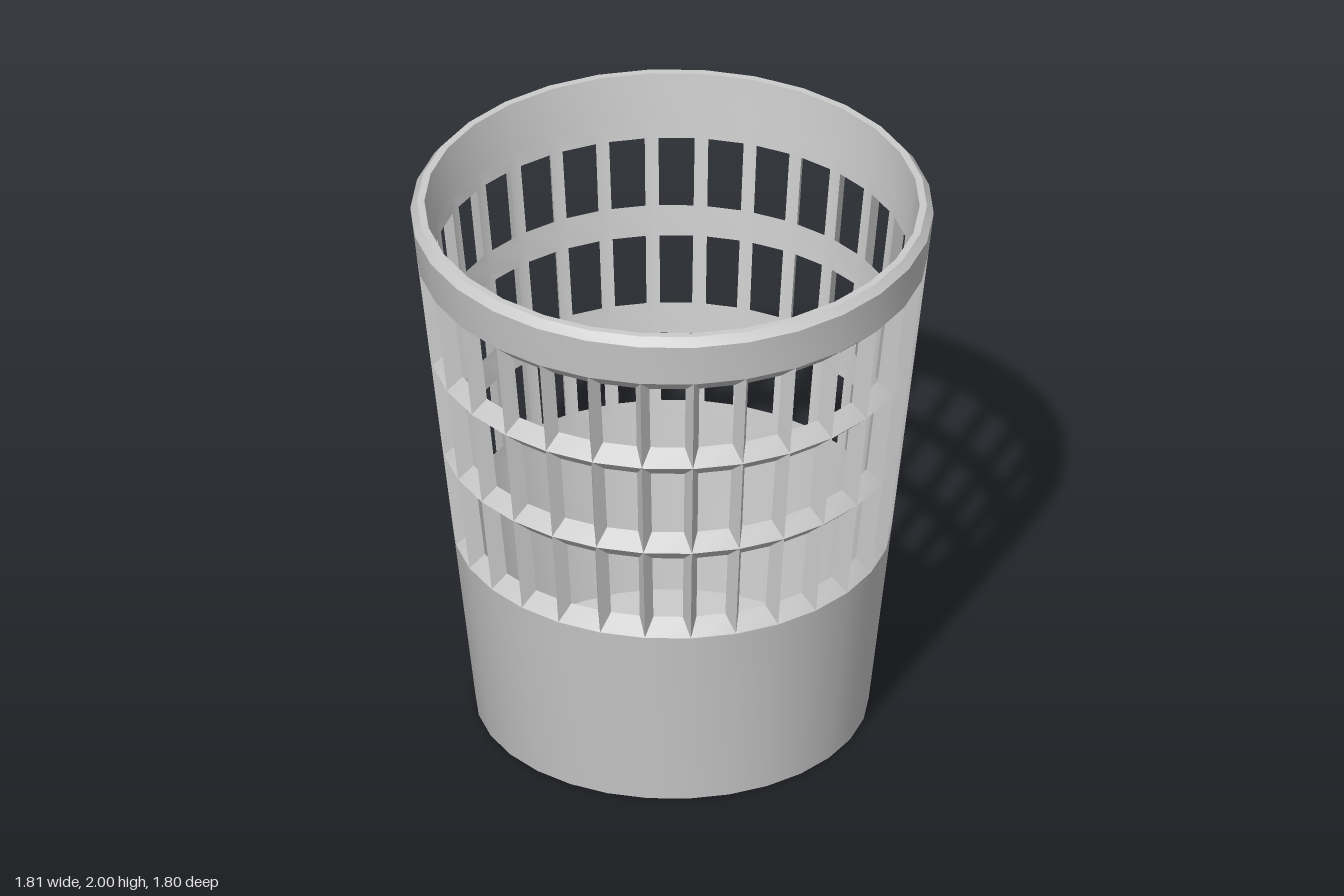
import * as THREE from 'three';
import { toCreasedNormals } from 'three/addons/utils/BufferGeometryUtils.js';

const SIDES = 30;
const STEP = (Math.PI * 2) / SIDES;
const START = STEP / 2; // a flat facet faces the front
const CREASE = 0.5;
const ROWS = [0.7, 1.07, 1.44, 1.81]; // outer ridge heights of the lattice
const BAR = 0.024; // half width of an upright bar on the inside
const SILL = 0.06; // half height of a ring bar on the inside

// Tapered wall radii at height y
const outerR = (y) => 0.68 + 0.114 * y;
const innerR = (y) => 0.628 + 0.114 * y;

const material = new THREE.MeshStandardMaterial({ color: 0xcccccc });

function addMesh(group, name, geometry) {
  const mesh = new THREE.Mesh(toCreasedNormals(geometry, CREASE), material);
  mesh.name = name;
  group.add(mesh);
}

function lathe(points) {
  const profile = points.map(([r, y]) => new THREE.Vector2(r, y));
  return new THREE.LatheGeometry(profile, SIDES, START);
}

const ringPoint = (r, angle, y) =>
  new THREE.Vector3(r * Math.sin(angle), y, r * Math.cos(angle));

// Splayed windows: each cell narrows from sharp outer ridges to a smaller inner hole
function latticeGeometry() {
  const positions = [];
  const quad = (a, b, c, d) => {
    for (const p of [a, b, c, a, c, d]) positions.push(p.x, p.y, p.z);
  };
  for (let row = 0; row < ROWS.length - 1; row++) {
    const y0 = ROWS[row], y1 = ROWS[row + 1];
    const h0 = y0 + SILL, h1 = y1 - SILL + 0.005;
    for (let i = 0; i < SIDES; i++) {
      const a0 = START + i * STEP, a1 = a0 + STEP;
      const corners = (radius, low, high) => [
        ringPoint(radius(low), a0, low), ringPoint(radius(low), a1, low),
        ringPoint(radius(high), a1, high), ringPoint(radius(high), a0, high),
      ];
      const outer = corners(outerR, y0, y1);
      const inner = corners(innerR, y0, y1);
      // Pull the hole corners in along the facet by the bar width
      const full = corners(innerR, h0, h1);
      const hole = full.map((p, k) => {
        const mate = full[k ^ 1];
        return p.clone().lerp(mate, BAR / p.distanceTo(mate));
      });
      for (let k = 0; k < 4; k++) {
        const n = (k + 1) % 4;
        quad(outer[k], outer[n], hole[n], hole[k]); // sloped bar face
        quad(inner[k], hole[k], hole[n], inner[n]); // flat inside face
      }
    }
  }
  const geometry = new THREE.BufferGeometry();
  geometry.setAttribute('position', new THREE.Float32BufferAttribute(positions, 3));
  return geometry;
}

export function createModel() {
  const group = new THREE.Group();
  group.name = 'wasteBasket';
  const low = ROWS[0], high = ROWS[ROWS.length - 1];

  // Solid lower bucket, outside and inside
  addMesh(group, 'bucketOutside', lathe([[0, 0], [outerR(0), 0], [outerR(low), low]]));
  addMesh(group, 'bucketInside', lathe([[innerR(low), low], [innerR(0.04), 0.04], [0, 0.04]]));

  // Openwork middle
  addMesh(group, 'lattice', latticeGeometry());

  // Solid rim band with a bevelled outer lip
  addMesh(group, 'rim', lathe([
    [outerR(high), high], [outerR(1.97), 1.97], [0.881, 2], [innerR(2), 2], [innerR(high), high],
  ]));
  return group;
}
